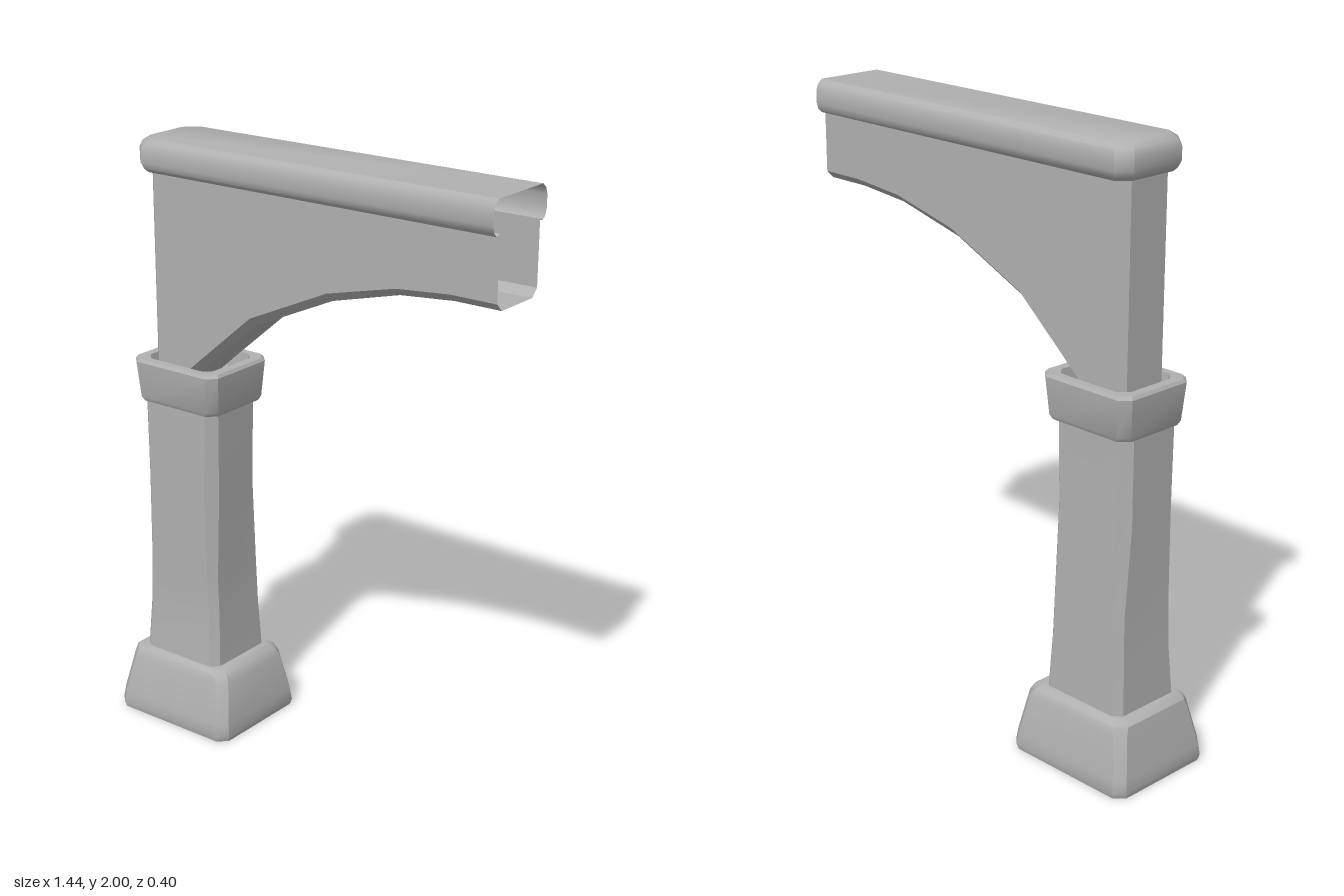
import * as THREE from 'three';
import { toCreasedNormals } from 'three/addons/utils/BufferGeometryUtils.js';

const stone = new THREE.MeshStandardMaterial({ color: 0xb0b0b0, side: THREE.DoubleSide });
stone.name = 'grey stone';

// Skin a list of equal-length cross-sections; optionally close the loop or cap an end
function loft(name, rings, { closed = false, capStart = false, capEnd = false } = {}) {
  const n = rings[0].length, idx = [];
  for (let i = 0; i < rings.length - 1; i++) {
    for (let j = 0; j < (closed ? n : n - 1); j++) {
      const k = (j + 1) % n;
      const a = i * n + j, b = i * n + k, c = b + n, d = a + n;
      idx.push(a, b, c, a, c, d);
    }
  }
  const last = (rings.length - 1) * n;
  for (let j = 1; j < n - 1; j++) {
    if (capStart) idx.push(0, j + 1, j);
    if (capEnd) idx.push(last, last + j, last + j + 1);
  }
  const geo = new THREE.BufferGeometry();
  geo.setAttribute('position', new THREE.Float32BufferAttribute(rings.flat(2), 3));
  geo.setIndex(idx);
  const mesh = new THREE.Mesh(toCreasedNormals(geo, 0.6), stone);
  mesh.name = name;
  return mesh;
}

// Horizontal rectangle with cut corners: y, x range, z range, corner cut
const cutRect = ([y, x0, x1, z0, z1, c]) => [
  [x0 + c, y, z1], [x1 - c, y, z1], [x1, y, z1 - c], [x1, y, z0 + c],
  [x1 - c, y, z0], [x0 + c, y, z0], [x0, y, z0 + c], [x0, y, z1 - c],
];

export function createModel() {
  const group = new THREE.Group();
  group.name = 'halfArchPillar';

  // Flared foot, hollow underneath
  group.add(loft('base', [
    [0, -0.715, -0.245, -0.195, 0.195, 0.03],
    [0.02, -0.72, -0.24, -0.2, 0.2, 0.03],
    [0.06, -0.715, -0.245, -0.195, 0.195, 0.03],
    [0.195, -0.69, -0.27, -0.17, 0.165, 0.03],
    [0.22, -0.685, -0.285, -0.16, 0.155, 0.03],
    [0.235, -0.665, -0.305, -0.14, 0.14, 0.03],
    [0.235, -0.645, -0.325, -0.13, 0.13, 0.03],
  ].map(cutRect), { closed: true }));

  // Slightly waisted shaft
  group.add(loft('shaft', [
    [0.235, -0.645, -0.325, -0.135, 0.135, 0.025],
    [0.4, -0.638, -0.335, -0.13, 0.122, 0.025],
    [0.55, -0.633, -0.34, -0.128, 0.12, 0.025],
    [0.85, -0.632, -0.33, -0.113, 0.128, 0.035],
    [1.13, -0.633, -0.325, -0.11, 0.125, 0.03],
  ].map(cutRect), { closed: true }));

  // Collar with a recessed top
  group.add(loft('collar', [
    [1.13, -0.63, -0.33, -0.11, 0.12, 0.03],
    [1.13, -0.64, -0.32, -0.13, 0.13, 0.03],
    [1.145, -0.647, -0.313, -0.138, 0.138, 0.03],
    [1.265, -0.657, -0.303, -0.147, 0.147, 0.03],
    [1.275, -0.65, -0.31, -0.14, 0.14, 0.03],
    [1.275, -0.62, -0.34, -0.115, 0.115, 0.03],
    [1.22, -0.615, -0.345, -0.11, 0.11, 0.03],
  ].map(cutRect), { closed: true, capEnd: true }));

  // Arch bracket: x, underside height, half width, edge cut; far end stays open
  const bracket = [
    [-0.595, 1.2, 0.075, 0.001], [-0.565, 1.2, 0.105, 0.001], [-0.475, 1.2, 0.105, 0.03],
    [-0.39, 1.275, 0.105, 0.03], [-0.18, 1.455, 0.105, 0.03], [0.12, 1.59, 0.105, 0.03],
    [0.37, 1.655, 0.105, 0.025], [0.56, 1.672, 0.105, 0.025], [0.72, 1.672, 0.105, 0.025],
  ].map(([x, y, w, c]) => [
    [x, 1.9, w], [x, y + c, w], [x, y, w - c], [x, y, c - w], [x, y + c, -w], [x, 1.9, -w],
  ]);
  group.add(loft('archBracket', bracket, { capStart: true }));

  // Rounded rail along the top, open at the far end: y, back x, half width, corner cut
  const rail = [
    [1.9, -0.595, 0.105, 0.03], [1.893, -0.605, 0.12, 0.035], [1.905, -0.617, 0.133, 0.04],
    [1.925, -0.625, 0.139, 0.04], [1.965, -0.625, 0.139, 0.04], [1.985, -0.618, 0.132, 0.04],
    [2, -0.6, 0.115, 0.04],
  ].map(([y, x, w, c]) => [
    [0.72, y, -w], [x + c, y, -w], [x, y, c - w], [x, y, w - c], [x + c, y, w], [0.72, y, w],
  ]);
  group.add(loft('topRail', rail, { capEnd: true }));

  return group;
}
